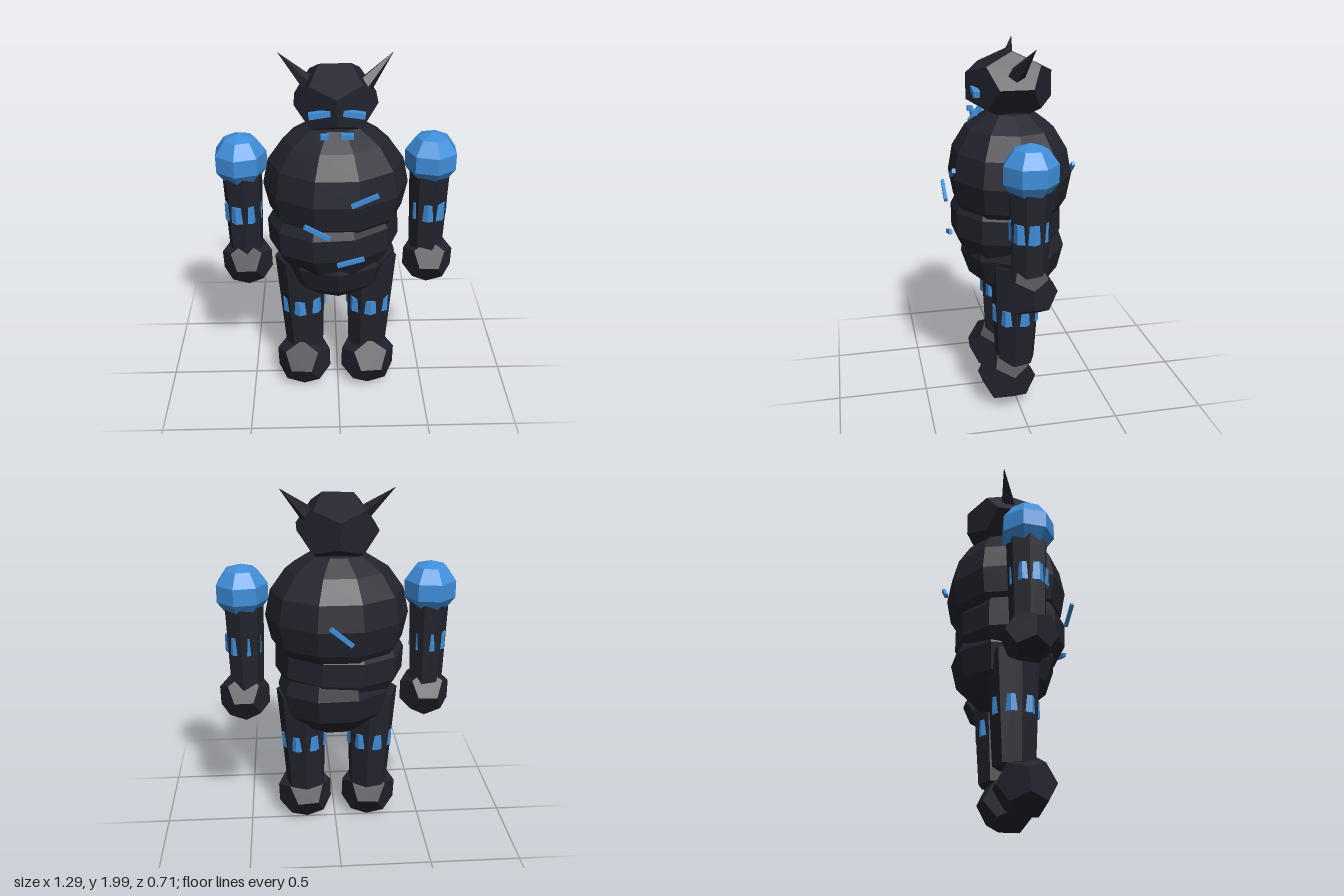
import * as THREE from 'three';

export function createModel() {
  const model = new THREE.Group();
  const dark = new THREE.MeshStandardMaterial({ color: 0x23232e, flatShading: true });
  dark.name = 'charcoal';
  const blue = new THREE.MeshStandardMaterial({ color: 0x3f8fdb, flatShading: true });
  blue.name = 'glowing blue';

  function add(name, geometry, material, pos, rot = [0, 0, 0], scale = [1, 1, 1]) {
    const mesh = new THREE.Mesh(geometry, material);
    mesh.name = name;
    mesh.position.set(...pos);
    mesh.rotation.set(...rot);
    mesh.scale.set(...scale);
    model.add(mesh);
    return mesh;
  }

  // Faceted cylinder between two points; the turn is about its own axis
  function rod(name, from, to, rFrom, rTo, sides, turn, material) {
    const a = new THREE.Vector3(...from), b = new THREE.Vector3(...to);
    const dir = b.clone().sub(a);
    const geometry = new THREE.CylinderGeometry(rTo, rFrom, dir.length(), sides);
    geometry.rotateY(turn);
    const mesh = add(name, geometry, material, a.clone().add(b).multiplyScalar(0.5).toArray());
    mesh.quaternion.setFromUnitVectors(new THREE.Vector3(0, 1, 0), dir.normalize());
    return mesh;
  }

  // Torso: three overlapping faceted ellipsoids
  add('chest', new THREE.SphereGeometry(1, 10, 8), dark, [-0.01, 1.31, 0], [0, 0, 0], [0.39, 0.365, 0.335]);
  add('belly', new THREE.SphereGeometry(1, 10, 7), dark, [-0.025, 1.05, 0.02], [0, 0, 0.04], [0.365, 0.29, 0.31]);
  add('hips', new THREE.SphereGeometry(1, 9, 6), dark, [0, 0.89, -0.01], [0.05, 0.2, 0], [0.325, 0.275, 0.285]);

  // Head with a ridge down the face
  add('head', new THREE.DodecahedronGeometry(0.24), dark, [-0.01, 1.785, 0], [0, 0, 0.02], [0.95, 0.8, 1.03]);

  // Eyes and teeth
  for (const s of [-1, 1]) {
    add('eye', new THREE.BoxGeometry(0.11, 0.03, 0.034), blue, [-0.008 + s * 0.085, 1.77, 0.194], [0, 0, -s * 0.15]);
  }
  add('rightTooth', new THREE.BoxGeometry(0.04, 0.025, 0.03), blue, [-0.07, 1.655, 0.2]);
  add('leftTooth', new THREE.BoxGeometry(0.065, 0.025, 0.03), blue, [0.043, 1.655, 0.2]);

  // Limbs, mirrored left and right
  for (const s of [-1, 1]) {
    const side = s > 0 ? 'left' : 'right';
    const half = Math.PI / 7;
    const turn = s > 0 ? 0.3 : 0.1;
    const shift = s > 0 ? 0 : -0.015;

    rod(side + 'Horn', [s * 0.135, 1.845, -0.005], [s * 0.285 + shift, 1.998, -0.075], 0.047, 0.001, 5, 0.3, dark);

    // Arm
    const ax = s * 0.5 + shift;
    add(side + 'Shoulder', new THREE.SphereGeometry(0.148, 7, 5), blue, [ax, 1.447, 0], [0, s > 0 ? -0.06 : 0.06 + Math.PI, 0]);
    rod(side + 'Arm', [ax - s * 0.005, 0.86, 0], [ax - s * 0.005, 1.42, 0], 0.093, 0.112, 7, turn, dark);
    rod(side + 'ArmBand', [ax, 1.105, 0.004], [ax, 1.205, 0.004], 0.102, 0.102, 7, turn + half, blue);
    add(side + 'Fist', new THREE.DodecahedronGeometry(0.147), dark, [s * 0.508, 0.835, 0.005], [0.4, 0.5 * s, 0.35 * s]);

    // Leg
    const lx = s * 0.183 - 0.01;
    rod(side + 'Leg', [lx, 0.26, 0.005], [lx + s * 0.015, 0.86, 0], 0.113, 0.145, 7, turn + 0.2, dark);
    rod(side + 'LegBand', [lx + s * 0.006, 0.515, 0.004], [lx + s * 0.008, 0.605, 0.004], 0.13, 0.13, 7, turn + 0.2 + half, blue);
    add(side + 'Foot', new THREE.DodecahedronGeometry(0.167), dark,
      [s * 0.19 - 0.012, 0.163, 0.053], [0.35, 0.6 * s, 0.3 * s], [1, 0.97, 1]);
  }

  // Glowing scars: x, y, z, length, tilt
  const scars = [
    [0.13, 1.36, 0.33, 0.148, 0.43],
    [-0.115, 1.19, 0.345, 0.148, -0.52],
    [0.06, 1.01, 0.345, 0.145, 0.28],
    [-0.01, 1.3, -0.35, 0.15, 0.7],
  ];
  for (const [x, y, z, length, tilt] of scars) {
    add('scar', new THREE.BoxGeometry(length, 0.022, 0.018), blue, [x, y, z], [0, 0, tilt]);
  }

  return model;
}
